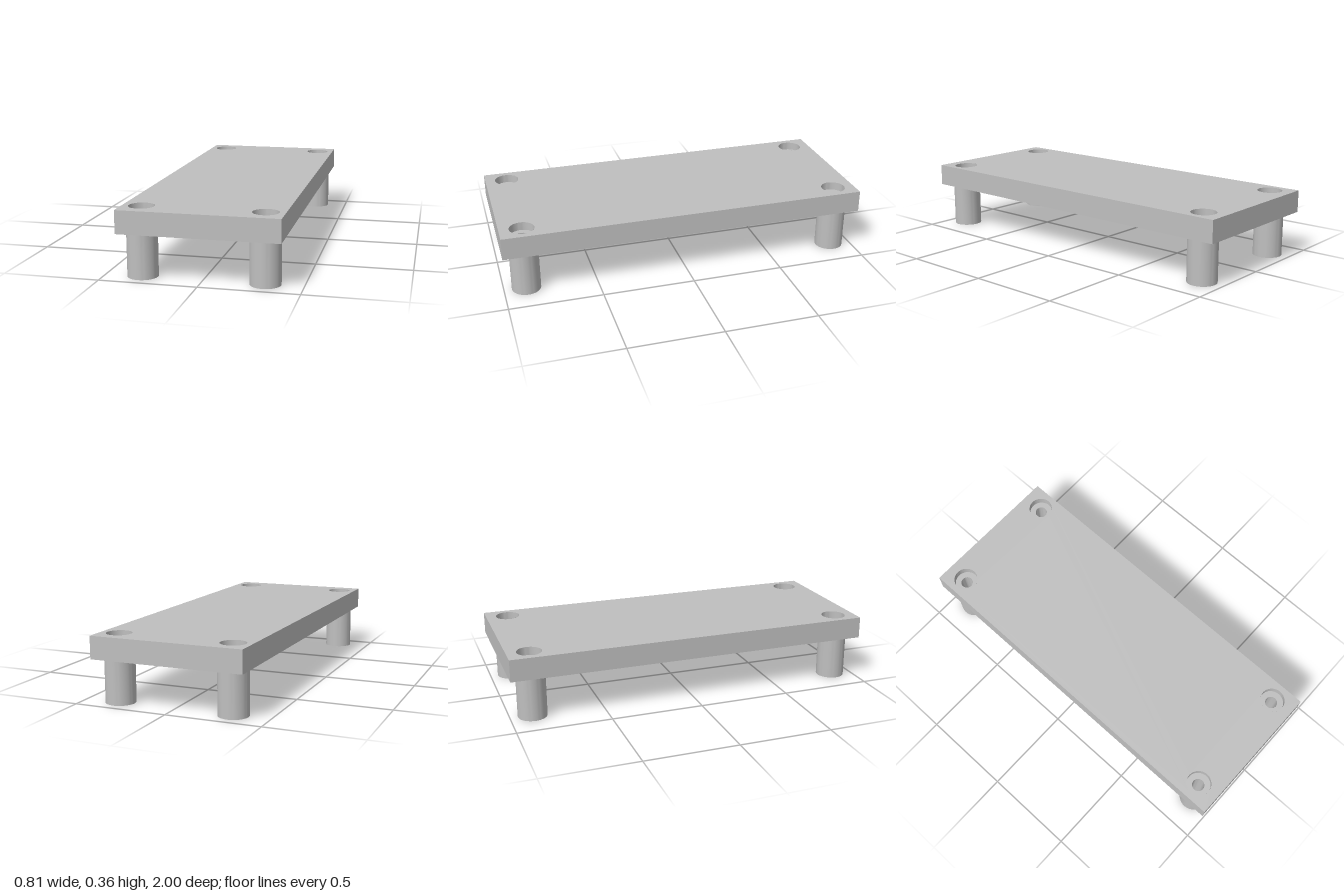
import * as THREE from 'three';
import { toCreasedNormals } from 'three/addons/utils/BufferGeometryUtils.js';

const W = 0.814, D = 2, BOTTOM = 0.238, TOP = 0.357;   // plate
const LEG_R = 0.078, BORE_R = 0.033, SINK_R = 0.066, SINK_Y = 0.312;
const LEG_X = 0.31, LEG_Z = 0.88;
const REC_W = 0.35, REC_D = 1.43, REC_Y = 0.258;       // underside recess
const SEG = 48;

const corners = [[-1, -1], [1, -1], [1, 1], [-1, 1]];

// rectangle centred on the origin
function rect(Type, w, d) {
  const p = new Type();
  corners.forEach(([x, y], i) => p[i ? 'lineTo' : 'moveTo'](x * w / 2, y * d / 2));
  p.closePath();
  return p;
}

// cut one round hole at each leg position
function cutHoles(shape, r) {
  for (const [x, z] of corners) {
    const hole = new THREE.Path();
    hole.absarc(x * LEG_X, z * LEG_Z, r, 0, Math.PI * 2, true);
    shape.holes.push(hole);
  }
  return shape;
}

// horizontal face at height y, facing up (1) or down (-1)
function flatFace(shape, y, dir) {
  return new THREE.ShapeGeometry(shape, SEG).rotateX(-dir * Math.PI / 2).translate(0, y, 0);
}

// four upright walls; inward = true turns them to face the middle
function walls(w, d, y0, y1, inward) {
  const r = Math.SQRT1_2;
  const g = new THREE.CylinderGeometry(r, r, 1, 4, 1, true).rotateY(Math.PI / 4)
    .scale(inward ? -w : w, y1 - y0, d).translate(0, (y0 + y1) / 2, 0).toNonIndexed();
  g.computeVertexNormals();
  return g;
}

export function createModel() {
  const model = new THREE.Group();
  model.name = 'plateOnLegs';
  const grey = new THREE.MeshStandardMaterial({ color: 0xbfbfbf, side: THREE.DoubleSide });
  grey.name = 'grey';

  const add = (name, geometry, parent) => {
    const mesh = new THREE.Mesh(geometry, grey);
    mesh.name = name;
    parent.add(mesh);
    return mesh;
  };

  // plate
  const plate = new THREE.Group();
  plate.name = 'plate';
  model.add(plate);
  add('plateTop', flatFace(cutHoles(rect(THREE.Shape, W, D), SINK_R), TOP, 1), plate);
  add('plateSides', walls(W, D, BOTTOM, TOP, false), plate);
  const under = cutHoles(rect(THREE.Shape, W, D), LEG_R);
  under.holes.push(rect(THREE.Path, REC_W, REC_D));
  add('plateUnderside', flatFace(under, BOTTOM, -1), plate);

  // shallow recess under the plate
  add('recessWalls', walls(REC_W, REC_D, BOTTOM, REC_Y, true), plate);
  add('recessCeiling', flatFace(rect(THREE.Shape, REC_W, REC_D), REC_Y, -1), plate);

  // hollow legs, each with its bore and counterbore through the plate
  const profile = [
    [SINK_R, TOP], [SINK_R, SINK_Y], [BORE_R, SINK_Y],
    [BORE_R, 0], [LEG_R, 0], [LEG_R, BOTTOM],
  ].map(([r, y]) => new THREE.Vector2(r, y));
  const legGeometry = toCreasedNormals(new THREE.LatheGeometry(profile, SEG), 0.6);
  for (const [x, z] of corners) {
    const name = (z > 0 ? 'front' : 'back') + (x > 0 ? 'Left' : 'Right') + 'Leg';
    add(name, legGeometry, model).position.set(x * LEG_X, 0, z * LEG_Z);
  }
  return model;
}
